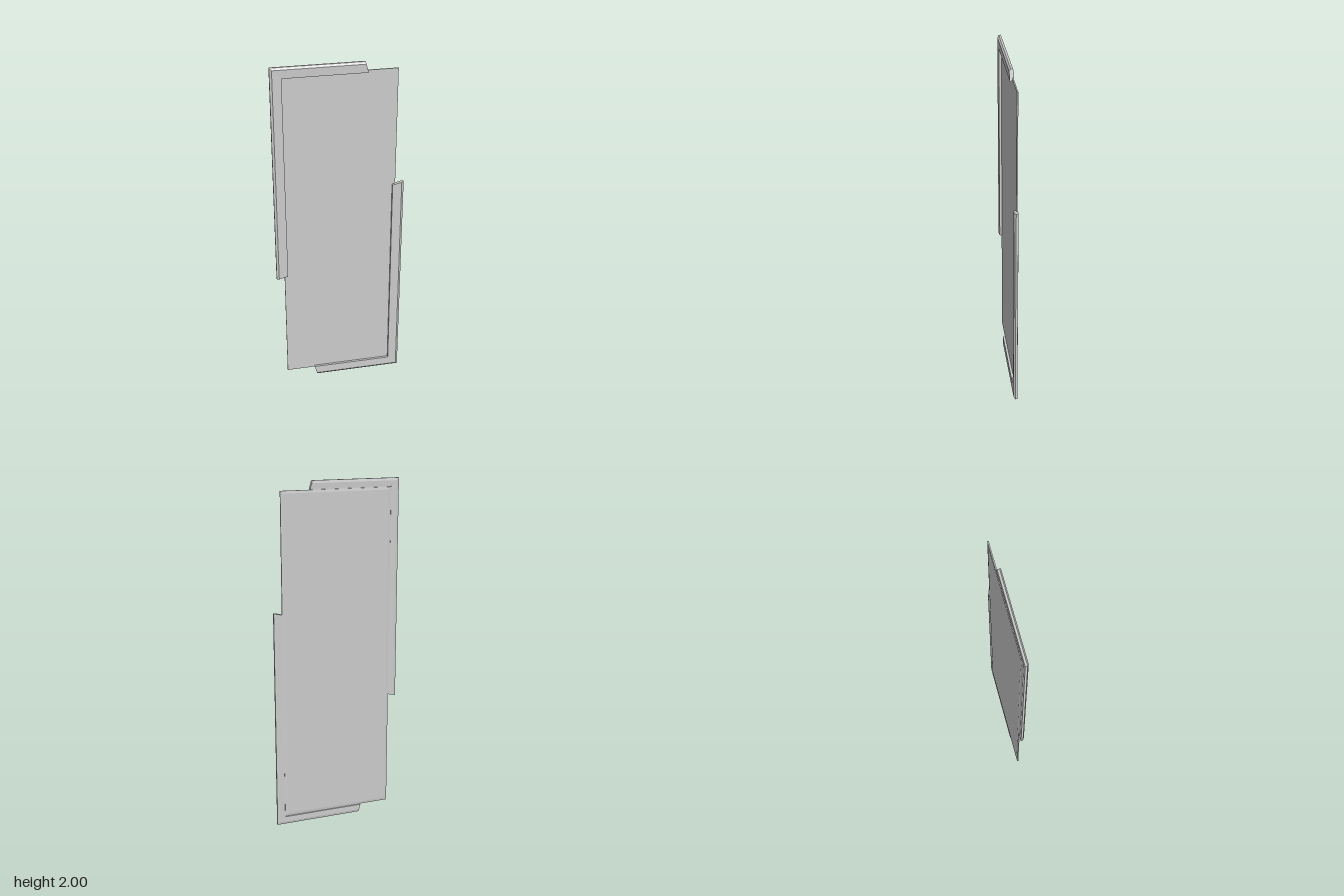
import * as THREE from 'three';

const material = new THREE.MeshStandardMaterial({ color: 0xcccccc, flatShading: true });

// Frame cross-section: [share of the way from inner to outer edge, z], counter-clockwise.
// The step at 0.25 is the rebate that holds the panel.
const section = [
  [0, -0.004], [0.25, -0.004], [0.25, -0.011], [0.75, -0.012],
  [1, -0.009], [1, 0.003], [0.8, 0.0115], [0, 0.010],
].map(([t, z]) => new THREE.Vector2(t, z));

// Inner and outer points of the frame at the side end, the mitred corner and the top end
const stations = [
  { inner: [-0.307, 0.735], outer: [-0.373, 0.72] },
  { inner: [-0.31, 1.94], outer: [-0.373, 2] },
  { inner: [0.158, 1.94], outer: [0.141, 2] },
];

// L-shaped moulding lofted through the stations, with closed ends
function cornerFrameGeometry() {
  const n = section.length;
  const positions = [];
  const index = [];
  for (const { inner, outer } of stations) {
    for (const p of section) {
      positions.push(
        THREE.MathUtils.lerp(inner[0], outer[0], p.x),
        THREE.MathUtils.lerp(inner[1], outer[1], p.x),
        p.y);
    }
  }
  for (let s = 0; s < stations.length - 1; s++) {
    for (let i = 0; i < n; i++) {
      const a = s * n + i, b = s * n + (i + 1) % n;
      index.push(a, b, b + n, a, b + n, a + n);
    }
  }
  const last = (stations.length - 1) * n;
  for (const [a, b, c] of THREE.ShapeUtils.triangulateShape(section, [])) {
    index.push(c, b, a, last + a, last + b, last + c);
  }
  const geometry = new THREE.BufferGeometry();
  geometry.setAttribute('position', new THREE.Float32BufferAttribute(positions, 3));
  geometry.setIndex(index);
  const flat = geometry.toNonIndexed();
  flat.computeVertexNormals();
  return flat;
}

// Thin sheet whose back edges are chamfered
function panelGeometry() {
  const geometry = new THREE.BoxGeometry(0.65, 1.9, 0.009, 1, 1, 2);
  const pos = geometry.attributes.position;
  for (let i = 0; i < pos.count; i++) {
    const z = pos.getZ(i);
    if (z < -0.004) {
      pos.setX(i, Math.sign(pos.getX(i)) * 0.31);
      pos.setY(i, Math.sign(pos.getY(i)) * 0.935);
    } else if (z < 0.004) {
      pos.setZ(i, -0.0025);
    }
  }
  geometry.translate(0, 1, -0.0085);
  geometry.computeVertexNormals();
  return geometry;
}

export function createModel() {
  const model = new THREE.Group();
  model.name = 'framedPanel';

  const panel = new THREE.Mesh(panelGeometry(), material);
  panel.name = 'panel';
  model.add(panel);

  // The second frame is the first turned half a circle about the panel's middle
  const frame = cornerFrameGeometry();
  const upper = new THREE.Mesh(frame, material);
  upper.name = 'upperCornerFrame';
  const lower = new THREE.Mesh(frame, material);
  lower.name = 'lowerCornerFrame';
  lower.rotation.z = Math.PI;
  lower.position.y = 2;
  model.add(upper, lower);

  return model;
}
